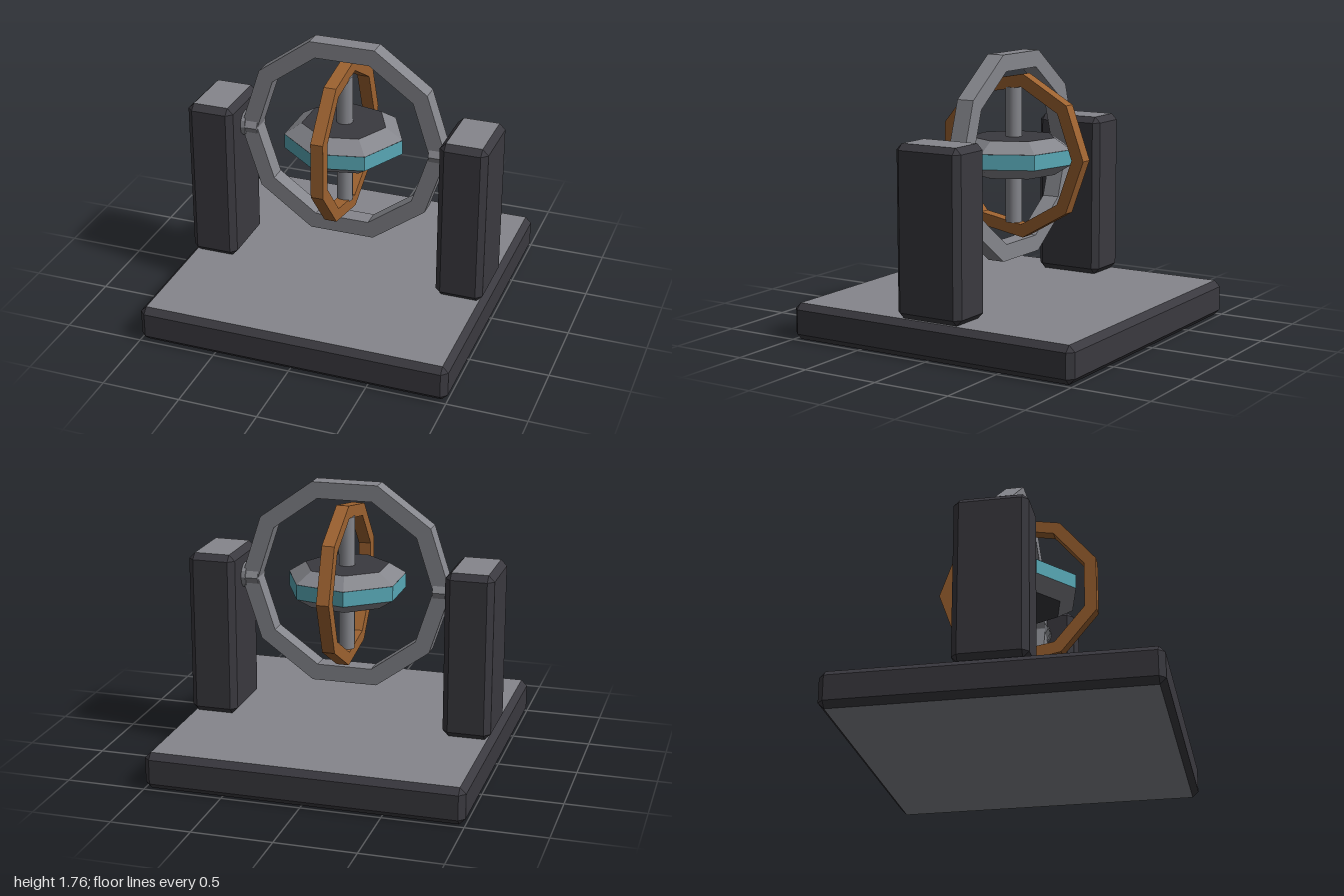
import * as THREE from 'three';
import { ConvexGeometry } from 'three/addons/geometries/ConvexGeometry.js';

const mat = (name, color) => {
  const m = new THREE.MeshStandardMaterial({ color });
  m.name = name;
  return m;
};

// Box with every edge chamfered; group 0 = top and bottom faces, group 1 = the rest
function chamferedBox(w, h, d, c) {
  const points = [];
  for (const x of [-w / 2, w / 2]) for (const y of [-h / 2, h / 2]) for (const z of [-d / 2, d / 2]) {
    const ix = x - Math.sign(x) * c, iy = y - Math.sign(y) * c, iz = z - Math.sign(z) * c;
    points.push(new THREE.Vector3(x, iy, iz), new THREE.Vector3(ix, y, iz), new THREE.Vector3(ix, iy, z));
  }
  const geo = new ConvexGeometry(points);
  const normal = geo.attributes.normal;
  for (let i = 0; i < normal.count; i += 3) {
    geo.addGroup(i, 3, Math.abs(normal.getY(i)) > 0.99 ? 0 : 1);
  }
  return geo;
}

// Flat polygonal ring in the XY plane, first corner on +x
function polygonRing(sides, outer, inner, depth) {
  const corners = (r) => Array.from({ length: sides }, (_, i) => {
    const a = (i / sides) * Math.PI * 2;
    return new THREE.Vector2(r * Math.cos(a), r * Math.sin(a));
  });
  const shape = new THREE.Shape(corners(outer));
  shape.holes.push(new THREE.Path(corners(inner)));
  return new THREE.ExtrudeGeometry(shape, { depth, bevelEnabled: false }).translate(0, 0, -depth / 2);
}

// Faceted cylinder or cone section, first corner on +x
function facetedCylinder(rTop, rBottom, height, sides, open = false) {
  const geo = new THREE.CylinderGeometry(rTop, rBottom, height, sides, 1, open, Math.PI / 2).toNonIndexed();
  geo.computeVertexNormals();
  return geo;
}

export function createModel() {
  const model = new THREE.Group();
  model.name = 'gyroscope';
  const grey = mat('metalGrey', 0x85868c);
  const dark = mat('charcoal', 0x3a393f);
  const copper = mat('copper', 0x9d6230);
  const teal = mat('teal', 0x58a8b6);
  const cy = 1.117;

  const add = (name, geo, material, x = 0, y = 0, z = 0) => {
    const mesh = new THREE.Mesh(geo, material);
    mesh.name = name;
    mesh.position.set(x, y, z);
    model.add(mesh);
    return mesh;
  };

  // Base slab
  add('base', chamferedBox(2, 0.232, 2, 0.038), [grey, dark], 0, 0.116, 0);

  // Pillars with pivots
  for (const [side, s] of [['left', 1], ['right', -1]]) {
    add(side + 'Pillar', chamferedBox(0.305, 1.058, 0.456, 0.038), [grey, dark], s * 0.83, 0.761, 0);
    // rotating about z keeps the corners along z
    const pin = new THREE.CylinderGeometry(0.08, 0.08, 0.11, 6).toNonIndexed();
    pin.computeVertexNormals();
    add(side + 'Pivot', pin, grey, s * 0.625, cy, 0).rotation.z = Math.PI / 2;
    add(side + 'PivotCollar', facetedCylinder(0.083, 0.083, 0.04, 12), grey, s * 0.67, cy, 0).rotation.z = Math.PI / 2;
  }

  // Gimbal rings
  add('outerRing', polygonRing(10, 0.681, 0.571, 0.114), grey, 0, cy, 0);
  add('innerRing', polygonRing(9, 0.526, 0.443, 0.08).rotateY(Math.PI / 2), copper, 0, cy, 0);

  // Spindle
  add('spindle', new THREE.CylinderGeometry(0.052, 0.052, 0.86, 12), grey, 0, cy, 0);

  // Rotor: sloped faces, band and dark caps
  add('rotorTop', facetedCylinder(0.27, 0.38, 0.07, 7), [grey, dark, dark], 0, 1.2, 0);
  add('rotorBand', facetedCylinder(0.38, 0.38, 0.095, 7, true), teal, 0, cy, 0);
  add('rotorBottom', facetedCylinder(0.38, 0.27, 0.07, 7), [grey, dark, dark], 0, 1.035, 0);

  return model;
}
